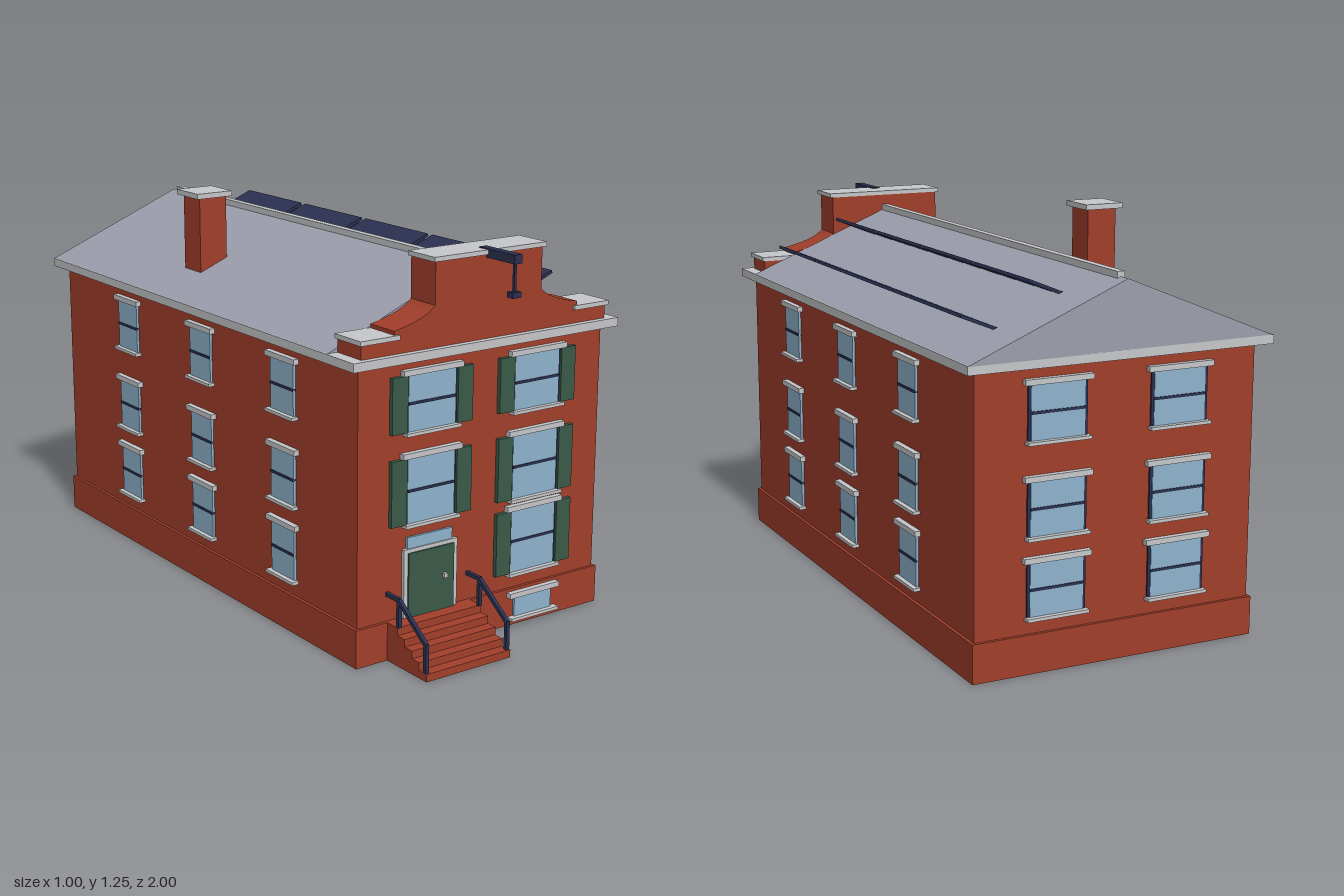
import * as THREE from 'three';

const mat = (name, color) => {
  const m = new THREE.MeshStandardMaterial({ color });
  m.name = name;
  return m;
};

export function createModel() {
  const brick = mat('brick red', 0xa23f2b);
  const stone = mat('pale stone', 0xc6c7ca);
  const slate = mat('slate grey', 0x9c9eac);
  const glass = mat('window blue', 0x8fb3cc);
  const navy = mat('dark navy', 0x2a3150);
  const green = mat('shutter green', 0x3a5a48);

  const house = new THREE.Group();
  house.name = 'townHouse';

  // Box given by its limits along each axis
  const box = (parent, name, m, [x0, x1], [y0, y1], [z0, z1]) => {
    const mesh = new THREE.Mesh(new THREE.BoxGeometry(x1 - x0, y1 - y0, z1 - z0), m);
    mesh.position.set((x0 + x1) / 2, (y0 + y1) / 2, (z0 + z1) / 2);
    mesh.name = name;
    parent.add(mesh);
    return mesh;
  };
  const extrude = (name, m, points, depth, z) => {
    const shape = points instanceof THREE.Shape ? points
      : new THREE.Shape(points.map(p => new THREE.Vector2(...p)));
    const mesh = new THREE.Mesh(
      new THREE.ExtrudeGeometry(shape, { depth, bevelEnabled: false, curveSegments: 8 }), m);
    mesh.position.z = z;
    mesh.name = name;
    house.add(mesh);
    return mesh;
  };

  // Walls, plinth and cornice
  box(house, 'plinth', brick, [-0.47, 0.47], [0, 0.12], [-0.97, 0.81]);
  box(house, 'walls', brick, [-0.46, 0.46], [0.12, 0.91], [-0.96, 0.8]);
  box(house, 'cornice', stone, [-0.5, 0.5], [0.905, 0.932], [-1, 0.835]);

  // Pitched roof with ridge cap
  extrude('roof', slate, [[-0.5, 0.93], [0.5, 0.93], [0, 1.135]], 1.7, -1);
  box(house, 'ridgeCap', stone, [-0.012, 0.012], [1.12, 1.15], [-0.96, 0.7]);

  // Front gable with concave shoulders
  const gable = new THREE.Shape();
  gable.moveTo(-0.46, 0.93);
  gable.lineTo(0.46, 0.93);
  gable.lineTo(0.46, 0.975);
  gable.lineTo(0.345, 0.975);
  gable.lineTo(0.345, 1.0);
  gable.quadraticCurveTo(0.235, 1.02, 0.2, 1.056);
  gable.lineTo(0.2, 1.186);
  gable.lineTo(-0.2, 1.186);
  gable.lineTo(-0.2, 1.056);
  gable.quadraticCurveTo(-0.235, 1.02, -0.345, 1.0);
  gable.lineTo(-0.345, 0.975);
  gable.lineTo(-0.46, 0.975);
  extrude('gable', brick, gable, 0.115, 0.7);
  box(house, 'gableCap', stone, [-0.21, 0.21], [1.184, 1.198], [0.697, 0.823]);
  for (const s of [-1, 1]) {
    box(house, 'shoulderCap', stone, s > 0 ? [0.33, 0.468] : [-0.468, -0.33],
      [0.974, 0.988], [0.697, 0.823]);
  }

  // Hoist beam, rope and hook
  box(house, 'hoistBeam', navy, [-0.014, 0.014], [1.174, 1.201], [0.78, 0.94]);
  box(house, 'hoistRope', navy, [-0.004, 0.004], [1.085, 1.18], [0.921, 0.929]);
  box(house, 'hoistHook', navy, [-0.016, 0.016], [1.074, 1.091], [0.912, 0.938]);

  // Chimney
  box(house, 'chimney', brick, [-0.35, -0.25], [0.95, 1.238], [-0.332, -0.232]);
  box(house, 'chimneyCap', stone, [-0.366, -0.236], [1.236, 1.253], [-0.347, -0.217]);

  // Tilted solar panels
  for (const [x, y] of [[0.18, 1.101], [0.392, 1.017]]) {
    for (let i = 0; i < 4; i++) {
      const panel = box(house, 'solarPanel', navy, [x - 0.06, x + 0.06],
        [y - 0.005, y + 0.005], [-0.85 + i * 0.365, -0.51 + i * 0.365]);
      panel.rotation.z = 0.39;
    }
  }

  // Window on a wall facing local +z: glass, bar, lintel, sill, optional frame and shutters
  const addWindow = (wall, x, y0, y1, w, o = {}) => {
    const g = new THREE.Group();
    g.name = 'window';
    g.position.x = x;
    wall.add(g);
    const lintelH = 0.017, sillH = 0.01;
    if (o.frame) box(g, 'frame', navy, [-w - 0.009, w + 0.009], [y0, y1], [-0.004, 0.006]);
    box(g, 'glass', glass, [-w, w], [y0, y1], [-0.001, 0.008]);
    if (!o.noBar) {
      const mid = (y0 + y1) / 2;
      box(g, 'glazingBar', navy, [-w, w], [mid - 0.004, mid + 0.004], [0, 0.011]);
    }
    const lw = o.lintel, sw = o.sill;
    box(g, 'lintel', stone, [-lw, lw], [y1, y1 + lintelH], [-0.004, 0.018]);
    box(g, 'sill', stone, [-sw, sw], [y0 - sillH, y0], [-0.004, 0.023]);
    if (o.shutters) {
      for (const s of [-1, 1]) {
        box(g, 'shutter', green, s > 0 ? [0.092, 0.148] : [-0.148, -0.092],
          [y0, y1], [-0.002, 0.014]);
      }
    }
  };
  const makeWall = (name, x, z, turn) => {
    const g = new THREE.Group();
    g.name = name;
    g.position.set(x, 0, z);
    g.rotation.y = turn;
    house.add(g);
    return g;
  };

  // Front windows
  const front = makeWall('frontWindows', 0, 0.8, 0);
  const frontStyle = { frame: true, shutters: true, lintel: 0.109, sill: 0.101 };
  for (const [x, y0, y1] of [[-0.2, 0.691, 0.861], [0.2, 0.691, 0.861],
    [-0.2, 0.411, 0.612], [0.2, 0.411, 0.612], [0.2, 0.172, 0.373]]) {
    addWindow(front, x, y0, y1, 0.086, frontStyle);
  }
  const cellar = makeWall('cellarWindow', 0, 0.81, 0);
  addWindow(cellar, 0.2, 0.029, 0.093, 0.074, { noBar: true, lintel: 0.099, sill: 0.095 });

  // Side and back windows
  const rows = [[0.172, 0.334], [0.411, 0.573], [0.691, 0.853]];
  const leftWall = makeWall('leftWindows', 0.46, 0, Math.PI / 2);
  const rightWall = makeWall('rightWindows', -0.46, 0, -Math.PI / 2);
  const backWall = makeWall('backWindows', 0, -0.96, Math.PI);
  for (const [y0, y1] of rows) {
    for (const z of [0.422, -0.05, -0.523]) {
      addWindow(leftWall, -z, y0, y1, 0.062, { lintel: 0.079, sill: 0.074 });
      addWindow(rightWall, z, y0, y1, 0.062, { lintel: 0.079, sill: 0.074 });
    }
    for (const x of [-0.2, 0.2]) {
      addWindow(backWall, x, y0, y1, 0.086, { frame: true, lintel: 0.109, sill: 0.101 });
    }
  }

  // Front door with surround, fanlight and knob
  box(house, 'doorSurround', stone, [-0.299, -0.1], [0.12, 0.333], [0.79, 0.812]);
  box(house, 'door', green, [-0.285, -0.115], [0.12, 0.321], [0.8, 0.817]);
  box(house, 'fanlight', glass, [-0.285, -0.117], [0.333, 0.368], [0.799, 0.808]);
  box(house, 'doorKnob', stone, [-0.159, -0.145], [0.221, 0.235], [0.81, 0.827]);

  // Steps up to the door
  for (let i = 0; i < 5; i++) {
    box(house, 'step', brick, [-0.357, -0.043], [i * 0.024, (i + 1) * 0.024],
      [0.8, 1 - i * 0.035]);
  }

  // Railings: two posts, sloping rail and level rail on each side
  for (const x of [-0.352, -0.05]) {
    const side = [x - 0.006, x + 0.006];
    box(house, 'railPost', navy, side, [0.024, 0.115], [0.984, 0.996]);
    box(house, 'railPost', navy, side, [0.12, 0.208], [0.854, 0.866]);
    box(house, 'levelRail', navy, side, [0.2, 0.212], [0.8, 0.864]);
    const rise = 0.095, run = 0.13, len = Math.hypot(rise, run) + 0.006;
    const rail = box(house, 'slopingRail', navy, side, [0.152, 0.164],
      [0.925 - len / 2, 0.925 + len / 2]);
    rail.rotation.x = Math.atan2(rise, run);
  }

  return house;
}
